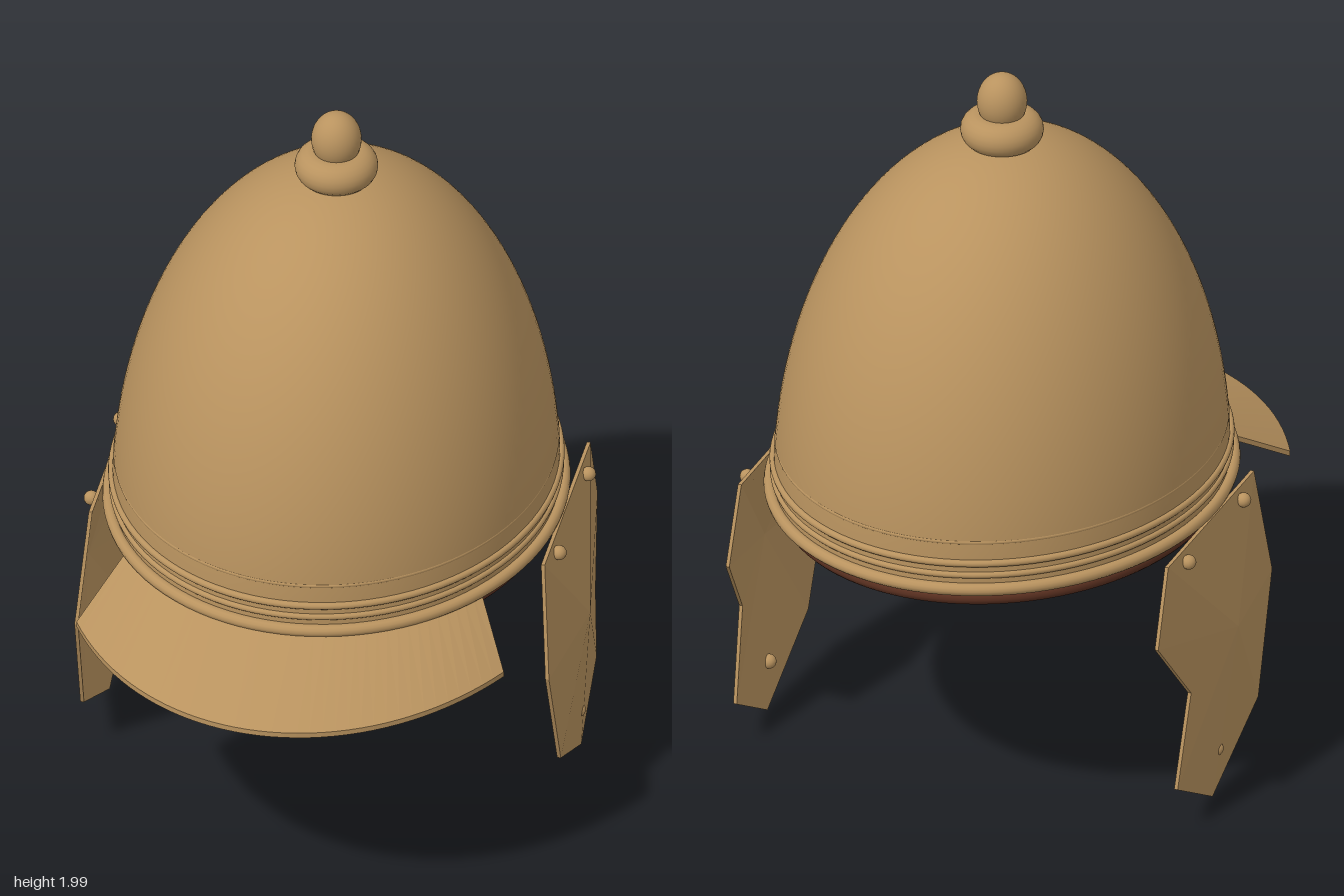
import * as THREE from 'three';

const CZ = -0.145; // centre line of the bowl
const bronze = new THREE.MeshStandardMaterial({ color: 0xb9935f, side: THREE.DoubleSide });
bronze.name = 'bronze';
const leather = new THREE.MeshStandardMaterial({ color: 0x5a3020 });
leather.name = 'dark leather';

function add(parent, name, geometry, material, x = 0, y = 0, z = 0) {
  const mesh = new THREE.Mesh(geometry, material);
  mesh.name = name;
  mesh.position.set(x, y, z);
  parent.add(mesh);
  return mesh;
}

// Oval ring lying flat, with an even tube height
function ovalRing(rx, rz, tube) {
  return new THREE.TorusGeometry(1, tube / 0.65, 12, 96).rotateX(Math.PI / 2).scale(rx, 0.65, rz);
}

// Closed solid from a grid of points: rows run along the sweep, columns go round the section
function sweep(rows) {
  const n = rows[0].length, pos = [], quad = (a, b, c, d) => pos.push(...a, ...b, ...c, ...a, ...c, ...d);
  for (let i = 0; i < rows.length - 1; i++)
    for (let j = 0; j < n; j++) {
      const k = (j + 1) % n;
      quad(rows[i][j], rows[i + 1][j], rows[i + 1][k], rows[i][k]);
    }
  const last = rows[rows.length - 1];
  quad(rows[0][0], rows[0][1], rows[0][2], rows[0][3]);
  quad(last[3], last[2], last[1], last[0]);
  const g = new THREE.BufferGeometry();
  g.setAttribute('position', new THREE.Float32BufferAttribute(pos, 3));
  g.computeVertexNormals();
  return g;
}

// Sloping peak fanned round the front of the oval rim
function peakGeometry() {
  const rows = [], half = 0.932, steps = 40, t = 0.015;
  for (let i = 0; i <= steps; i++) {
    const a = -half + (2 * half * i) / steps;
    const p = (rx, y, rz) => [Math.sin(a) * rx, y, CZ + Math.cos(a) * rz];
    rows.push([p(0.595, 0.815, 0.695), p(0.72, 0.692, 1.005), p(0.72, 0.692 - t, 1.005), p(0.595, 0.815 - t, 0.695)]);
  }
  return sweep(rows);
}

// Faceted cheek plate: outline [x, y, z] fanned to a raised centre, given a small thickness
function cheekGeometry(side) {
  const outline = [
    [0.617, 0.81, 0.11], [0.642, 0.49, 0.175], [0.65, 0.165, 0.06], [0.643, 0.01, -0.24],
    [0.637, 0.14, -0.467], [0.648, 0.40, -0.40], [0.62, 0.60, -0.56], [0.617, 0.81, -0.483],
  ];
  const centre = [0.684, 0.49, -0.16], pos = [];
  const inner = ([x, y, z]) => [x - 0.01, y, z];
  const tri = (a, b, c) => {
    for (const [x, y, z] of side > 0 ? [a, b, c] : [a, c, b]) pos.push(x * side, y, z);
  };
  outline.forEach((a, i) => {
    const b = outline[(i + 1) % outline.length];
    tri(centre, a, b);
    tri(inner(centre), inner(b), inner(a));
    tri(a, inner(a), inner(b));
    tri(a, inner(b), b);
  });
  const g = new THREE.BufferGeometry();
  g.setAttribute('position', new THREE.Float32BufferAttribute(pos, 3));
  g.computeVertexNormals();
  return g;
}

export function createModel() {
  const model = new THREE.Group();
  model.name = 'helmet';

  // Open bowl: half ellipse above a short straight band
  const profile = [new THREE.Vector2(1, 0.81)];
  for (let i = 0; i <= 40; i++) {
    const a = (i / 40) * Math.PI / 2;
    profile.push(new THREE.Vector2(Math.max(Math.cos(a), 0), 0.83 + 0.975 * Math.sin(a)));
  }
  add(model, 'bowl', new THREE.LatheGeometry(profile, 96).scale(0.59, 1, 0.693), bronze, 0, 0, CZ);

  // Rim and raised bands
  add(model, 'rim', ovalRing(0.6, 0.7, 0.017), bronze, 0, 0.818, CZ);
  add(model, 'middleBand', ovalRing(0.59, 0.692, 0.009), bronze, 0, 0.857, CZ);
  add(model, 'lowerBand', ovalRing(0.591, 0.693, 0.01), bronze, 0, 0.892, CZ);
  add(model, 'upperBand', ovalRing(0.58, 0.682, 0.007), bronze, 0, 0.95, CZ);
  add(model, 'liner', ovalRing(0.565, 0.66, 0.018), leather, 0, 0.773, CZ);

  // Finial
  const finial = new THREE.Group();
  finial.name = 'finial';
  finial.position.z = CZ;
  model.add(finial);
  add(finial, 'collar', new THREE.TorusGeometry(0.064, 0.047, 20, 48).rotateX(Math.PI / 2), bronze, 0, 1.837);
  add(finial, 'knob', new THREE.SphereGeometry(0.067, 32, 24).scale(1, 1.19, 1), bronze, 0, 1.92);

  add(model, 'peak', peakGeometry(), bronze);

  // Cheek guards with rivets
  for (const side of [1, -1]) {
    const guard = new THREE.Group();
    guard.name = side > 0 ? 'leftCheekGuard' : 'rightCheekGuard';
    model.add(guard);
    add(guard, 'cheekPlate', cheekGeometry(side), bronze);
    for (const [x, y, z] of [[0.633, 0.78, 0], [0.633, 0.78, -0.38], [0.641, 0.14, -0.21]])
      add(guard, 'rivet', new THREE.SphereGeometry(0.02, 16, 12), bronze, x * side, y, z);
  }
  return model;
}
